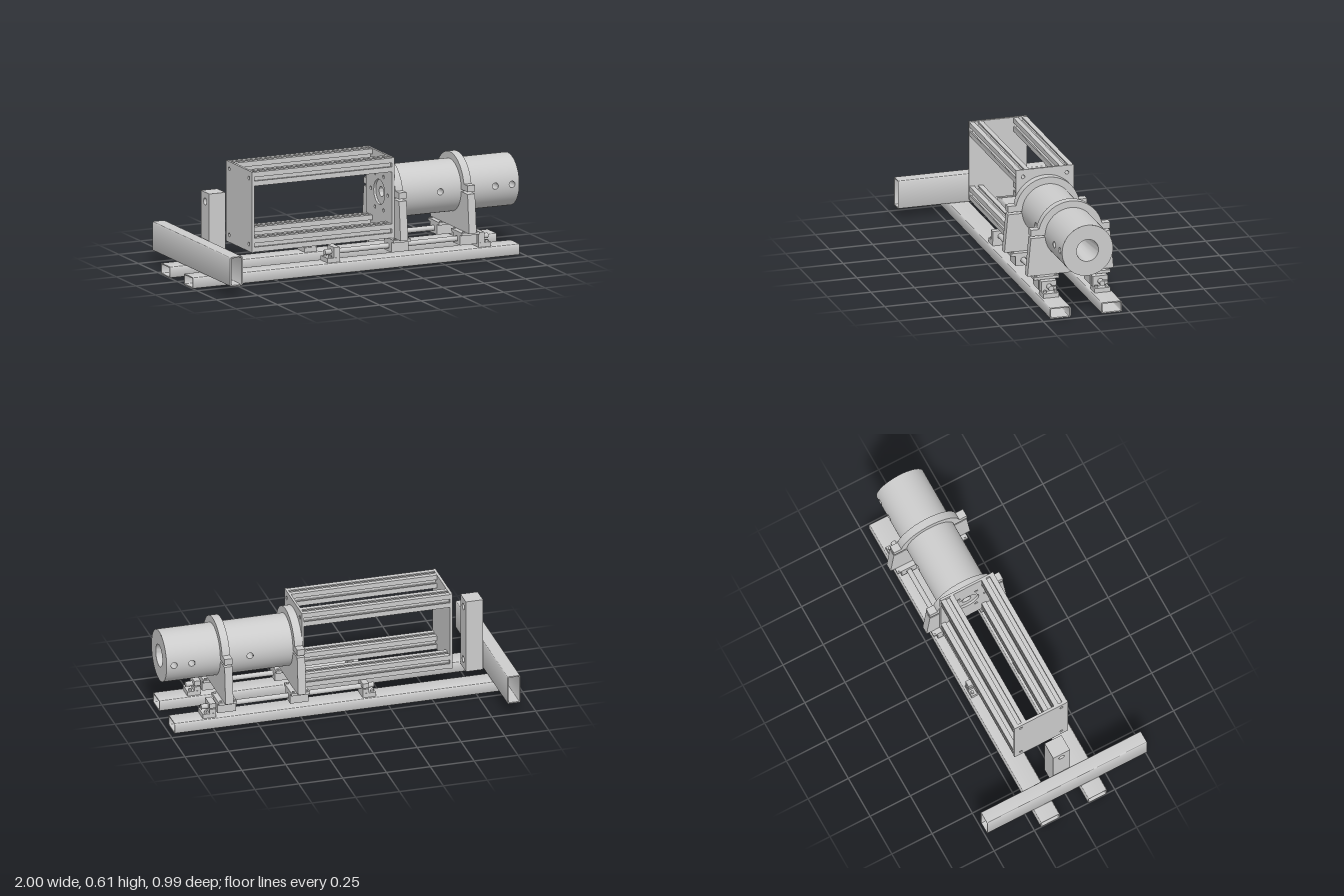
import * as THREE from 'three';
import { toCreasedNormals } from 'three/addons/utils/BufferGeometryUtils.js';

const mat = new THREE.MeshStandardMaterial({ color: 0xcccccc });
const insideMat = new THREE.MeshStandardMaterial({ color: 0xcccccc, side: THREE.BackSide });
const CY = 0.385, R = 0.146; // barrel axis height and radius

function add(parent, name, geo, material = mat) {
  const m = new THREE.Mesh(geo, material);
  m.name = name;
  parent.add(m);
  return m;
}
function poly(pts) {
  return new THREE.Shape(pts.map(([x, y]) => new THREE.Vector2(x, y)));
}
function rect(x0, x1, y0, y1) {
  return poly([[x0, y0], [x1, y0], [x1, y1], [x0, y1]]);
}
function roundRect(w, h, r) {
  const s = new THREE.Shape(), a = w / 2 - r, b = h / 2 - r;
  s.absarc(a, b, r, 0, Math.PI / 2);
  s.absarc(-a, b, r, Math.PI / 2, Math.PI);
  s.absarc(-a, -b, r, Math.PI, Math.PI * 1.5);
  s.absarc(a, -b, r, Math.PI * 1.5, Math.PI * 2);
  return s;
}
function hole(s, x, y, r) {
  s.holes.push(new THREE.Path().absarc(x, y, r, 0, Math.PI * 2, true));
}
function boxTube(w, h) {
  const s = roundRect(w, h, 0.009);
  s.holes.push(roundRect(w - 0.013, h - 0.013, 0.004));
  return s;
}
function extrude(shape, depth, segs = 8) {
  return toCreasedNormals(new THREE.ExtrudeGeometry(shape, { depth, bevelEnabled: false, curveSegments: segs }), 0.6);
}
// Extrude a z-y section from x0 to x1
function extrudeX(shape, x0, x1, segs) {
  return extrude(shape, x1 - x0, segs).rotateY(Math.PI / 2).translate(x0, 0, 0);
}
function box(x0, x1, y0, y1, z0, z1) {
  return new THREE.BoxGeometry(x1 - x0, y1 - y0, z1 - z0).translate((x0 + x1) / 2, (y0 + y1) / 2, (z0 + z1) / 2);
}

// Slotted square profile, one side repeated four times
function slotProfile() {
  const side = [[0.039, -0.039], [0.039, -0.011], [0.032, -0.011], [0.032, -0.022], [0.026, -0.022], [0.018, -0.013],
    [0.018, 0.013], [0.026, 0.022], [0.032, 0.022], [0.032, 0.011], [0.039, 0.011]];
  const pts = [];
  for (let k = 0; k < 4; k++) {
    const c = [1, 0, -1, 0][k], s = [0, 1, 0, -1][k];
    for (const [x, y] of side) pts.push([x * c - y * s, x * s + y * c]);
  }
  const shape = poly(pts);
  hole(shape, 0, 0, 0.0105);
  return shape;
}

function makeCage() {
  const g = new THREE.Group();
  g.name = 'cage';
  const corners = [];
  for (const z of [-0.126, 0.126]) for (const y of [0.199, 0.569]) corners.push([z, y]);
  const plate = () => {
    const s = rect(-0.166, 0.166, 0.158, 0.61);
    for (const [z, y] of corners) hole(s, z, y, 0.0105);
    return s;
  };
  add(g, 'rearPlate', extrudeX(plate(), -0.625, -0.61));
  const front = plate();
  hole(front, 0, CY, 0.07);
  for (let i = 0; i < 6; i++) {
    const a = (i / 6) * Math.PI * 2;
    hole(front, 0.108 * Math.cos(a), CY + 0.108 * Math.sin(a), 0.01);
  }
  add(g, 'barrelPlate', extrudeX(front, 0.222, 0.235, 16));
  for (const [z, y] of corners) add(g, 'slottedBeam', extrudeX(slotProfile(), -0.61, 0.222)).position.set(0, y, z);
  return g;
}

function makeBarrel() {
  const g = new THREE.Group();
  g.name = 'barrel';
  g.position.y = CY;
  const x0 = 0.235, x1 = 1, w = 0.024, a = Math.asin(w / R);
  // End faces and tapered bore
  const bore = [[R, x1], [0.063, x1], [0.028, 0.6], [0.028, x0], [R, x0]].map(([r, x]) => new THREE.Vector2(r, x));
  add(g, 'bore', toCreasedNormals(new THREE.LatheGeometry(bore, 48), 0.6).rotateZ(-Math.PI / 2));
  for (const k of [0, 1]) {
    // Curved wall between the two drilled strips
    add(g, 'barrelWall', new THREE.CylinderGeometry(R, R, x1 - x0, 32, 1, true, k * Math.PI + a, Math.PI - 2 * a)
      .rotateZ(-Math.PI / 2).translate((x0 + x1) / 2, 0, 0));
    // Drilled strip, bent onto the wall
    const strip = rect(x0, x1, -w, w);
    const drills = [0.524, 0.856, 0.957];
    for (const x of drills) hole(strip, x, 0, 0.018);
    const geo = new THREE.ShapeGeometry(strip, 12);
    const p = geo.attributes.position, n = geo.attributes.normal;
    for (let i = 0; i < p.count; i++) {
      const y = p.getY(i), z = Math.sqrt(R * R - y * y);
      p.setZ(i, z);
      n.setXYZ(i, 0, y / R, z / R);
    }
    add(g, 'drilledStrip', geo.rotateX(k * Math.PI));
    for (const x of drills) {
      add(g, 'drilledHole', new THREE.CylinderGeometry(0.018, 0.018, 0.08, 24).rotateX(Math.PI / 2)
        .translate(x, 0, 0.105).rotateX(k * Math.PI), insideMat);
    }
  }
  return g;
}

// Split clamp on a tapered foot, carried by two bearing blocks
function makeClamp(x0) {
  const g = new THREE.Group();
  g.name = 'clampCarriage';
  const x1 = x0 + 0.045, xc = x0 + 0.0225;
  const yl = 0.375, yu = 0.387, ye = 0.423, ro = 0.184;
  const al = Math.asin((yl - CY) / R), au = Math.asin((yu - CY) / R), ae = Math.asin((ye - CY) / ro);
  const foot = poly([[-0.247, 0.158], [0.247, 0.158], [0.227, yl]]);
  foot.absarc(0, CY, R, al, -Math.PI - al, true);
  foot.lineTo(-0.227, yl);
  add(g, 'clampFoot', extrudeX(foot, x0, x1, 32));
  const cap = poly([[0.227, yu], [0.227, ye]]);
  cap.absarc(0, CY, ro, ae, Math.PI - ae, false);
  cap.lineTo(-0.227, ye);
  cap.lineTo(-0.227, yu);
  cap.absarc(0, CY, R, Math.PI - au, au, true);
  add(g, 'clampCap', extrudeX(cap, x0, x1, 32));
  for (const z of [-0.147, 0.147]) {
    add(g, 'bearingFlange', box(xc - 0.052, xc + 0.052, 0.142, 0.158, z - 0.072, z + 0.072));
    const block = rect(-0.045, 0.045, 0.085, 0.143);
    hole(block, 0, 0.115, 0.0165);
    add(g, 'bearingBlock', extrudeX(block, xc - 0.052, xc + 0.052, 12)).position.z = z;
    for (const dx of [-0.038, 0.038]) for (const dz of [-0.058, 0.058]) {
      add(g, 'flangeScrew', new THREE.CylinderGeometry(0.008, 0.008, 0.006, 12)).position.set(xc + dx, 0.16, z + dz);
    }
  }
  return g;
}

// Guide shaft with a slit holder at each end
function makeGuide(z) {
  const g = new THREE.Group();
  g.name = 'guide';
  g.position.z = z;
  add(g, 'guideShaft', new THREE.CylinderGeometry(0.0145, 0.0145, 0.985, 24).rotateZ(Math.PI / 2)).position.set(0.314, 0.115, 0);
  for (const [base0, base1, up0] of [[-0.18, -0.105, -0.141], [0.732, 0.807, 0.732]]) {
    add(g, 'holderBase', box(base0, base1, 0.063, 0.088, -0.045, 0.045));
    const b = Math.asin(0.003 / 0.0155);
    const s = poly([[-0.043, 0.086], [0.043, 0.086], [0.043, 0.112]]);
    s.absarc(0, 0.115, 0.0155, -b, b - Math.PI * 2, true);
    s.lineTo(0.043, 0.118);
    s.lineTo(0.043, 0.146);
    s.lineTo(-0.043, 0.146);
    add(g, 'holderClamp', extrudeX(s, up0, up0 + 0.036, 24));
    const sx = up0 < 0 ? -0.161 : 0.788;
    for (const dz of [-0.03, 0.03]) {
      add(g, 'holderScrew', new THREE.CylinderGeometry(0.009, 0.009, 0.012, 12)).position.set(sx, 0.094, dz);
    }
  }
  return g;
}

export function createModel() {
  const model = new THREE.Group();
  model.name = 'testRig';
  const core = new THREE.Group();
  core.name = 'core';
  core.position.z = -0.004;
  model.add(core);

  // Base rails and guides
  for (const z of [-0.147, 0.147]) {
    add(core, 'baseRail', extrudeX(boxTube(0.119, 0.063), -1, 0.972)).position.set(0, 0.0315, z);
    core.add(makeGuide(z));
  }
  core.add(makeCage(), makeBarrel(), makeClamp(0.235), makeClamp(0.649));

  // Cross beam and upright post
  add(model, 'crossBeam', extrude(boxTube(0.076, 0.164), 0.992)).position.set(-0.877, 0.146, -0.496);
  const post = rect(-0.052, 0.052, 0.063, 0.487);
  hole(post, 0, 0.115, 0.019);
  hole(post, 0, 0.435, 0.019);
  add(model, 'post', extrudeX(post, -0.836, -0.738, 16)).position.z = 0.008;
  return model;
}
